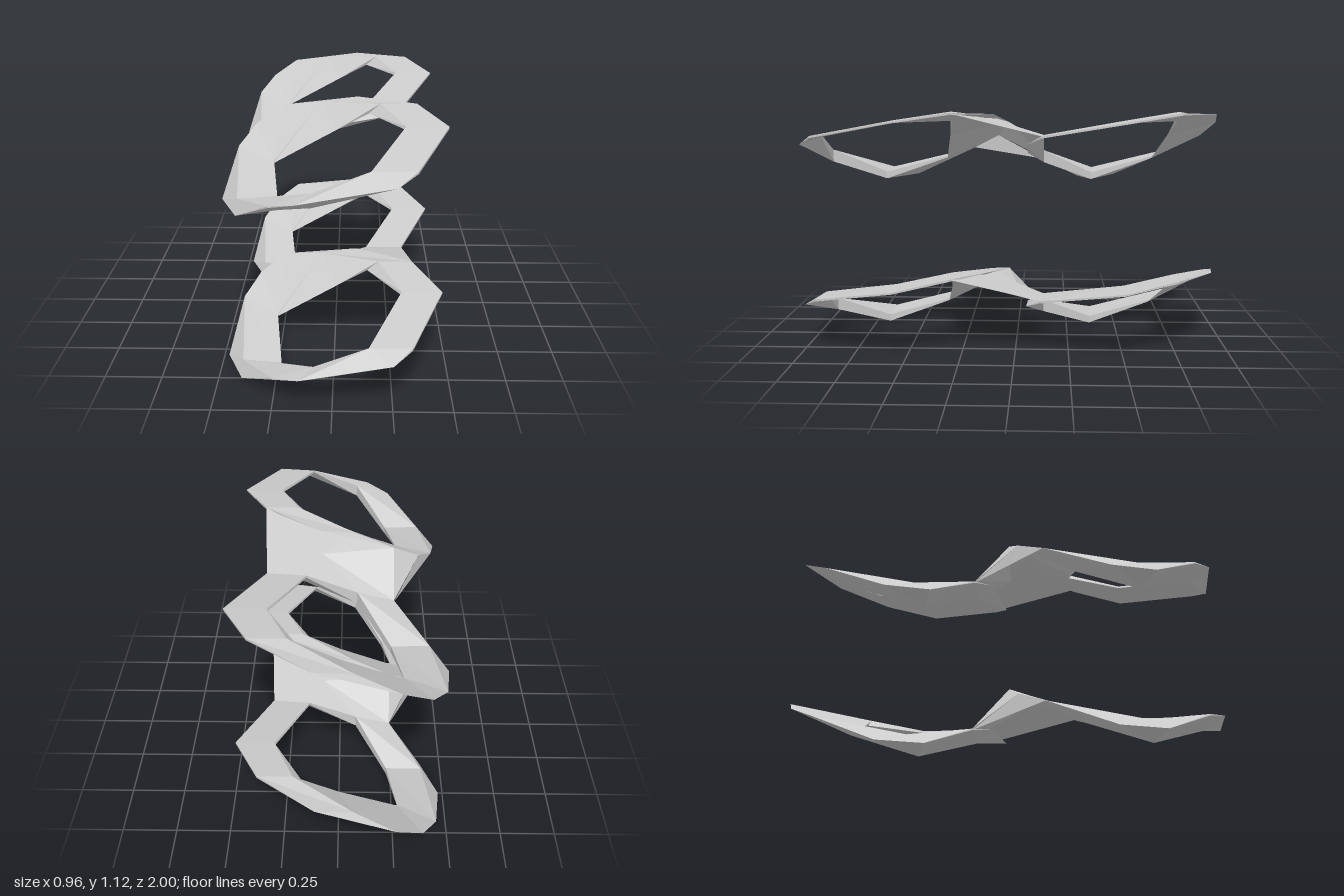
import * as THREE from 'three';

// Cross-sections around one loop, anticlockwise from above, starting at the right arm:
// [lower outer edge, upper outer edge, upper inner edge, lower inner edge]
const TOP = [-0.07, 0.325, 0.125];
const SIDE_TOP = [-0.27, 0.115, 0.365], SIDE_LOW = [-0.27, 0.105, 0.37];
const LEFT_RIDGE = [-0.4, 0.045, 0.67], LEFT_IN = [-0.23, 0.035, 0.68], LEFT_LOW = [-0.23, 0, 0.68];
const FRONT_IN = [-0.08, 0.16, 0.92], FRONT_LOW = [-0.08, 0.1, 0.92];
const RIGHT_IN = [0.15, 0.25, 0.92], RIGHT_LOW = [0.15, 0.238, 0.92];
const same = (p, inner, low) => [p, p, inner, low];
const SECTIONS = [
  [[0.48, 0.317, 0.55], [0.48, 0.325, 0.55], [0.3, 0.325, 0.55], [0.295, 0.312, 0.55]],
  [[0.36, 0.35, 0.3], [0.36, 0.36, 0.3], [0.2, 0.36, 0.3], [0.15, 0.315, 0.3]],
  same([0.1, 0.345, 0.11], TOP, [0, 0.242, 0.325]),
  same([-0.25, 0.29, 0.05], TOP, SIDE_LOW),
  same([-0.37, 0.215, 0.11], SIDE_TOP, SIDE_LOW),
  same([-0.44, 0.145, 0.24], SIDE_TOP, SIDE_LOW),
  [[-0.48, 0, 0.55], LEFT_RIDGE, LEFT_IN, LEFT_LOW],
  [[-0.4, 0, 0.75], LEFT_RIDGE, LEFT_IN, LEFT_LOW],
  [[-0.25, 0.103, 0.93], [-0.25, 0.11, 0.93], FRONT_IN, FRONT_LOW],
  same([-0.14, 0.14, 1], FRONT_IN, FRONT_LOW),
  same([0.25, 0.21, 1], RIGHT_IN, RIGHT_LOW),
  [[0.33, 0.245, 0.93], [0.33, 0.255, 0.93], RIGHT_IN, RIGHT_LOW],
];
const PITCH = 1.05; // distance between the two loops
const LEVEL = 0.76; // height between the two pieces

const material = new THREE.MeshStandardMaterial({
  color: 0xcccccc, flatShading: true, side: THREE.DoubleSide,
});

function facetedMesh(name, triangles) {
  const geometry = new THREE.BufferGeometry();
  geometry.setAttribute('position', new THREE.Float32BufferAttribute(triangles.flat(2), 3));
  geometry.computeVertexNormals();
  const mesh = new THREE.Mesh(geometry, material);
  mesh.name = name;
  return mesh;
}

// Closed loop skinned between neighbouring cross-sections
function loop(name) {
  const triangles = [];
  SECTIONS.forEach((s, i) => {
    const t = SECTIONS[(i + 1) % SECTIONS.length];
    for (let k = 0; k < 4; k++) {
      const n = (k + 1) % 4;
      for (const tri of [[s[k], t[k], t[n]], [s[k], t[n], s[n]]]) {
        const [a, b, c] = tri.map((p) => new THREE.Vector3(...p));
        if (b.sub(a).cross(c.sub(a)).length() > 1e-7) triangles.push(tri);
      }
    }
  });
  return facetedMesh(name, triangles);
}

// Thin web joining the front of one loop to the back of the other
function bridge() {
  const back = (i, k) => {
    const [x, y, z] = SECTIONS[i][k];
    return [x, y, z - PITCH];
  };
  const front = (i, k) => SECTIONS[i][k];
  const rim = [back(8, 1), front(3, 1), TOP, front(1, 2), front(1, 1), back(11, 1),
    back(10, 2), back(8, 2)];
  const centre = [0.08, 0.285, 0];
  const triangles = rim.map((p, i) => [centre, p, rim[(i + 1) % rim.length]]);
  // Gusset down the left side
  triangles.push([back(8, 1), front(4, 0), front(3, 0)]);
  triangles.push([back(8, 0), front(5, 0), front(4, 0)]);
  return facetedMesh('bridge', triangles);
}

export function createModel() {
  const model = new THREE.Group();
  model.name = 'stackedDoubleLoops';
  ['lowerPiece', 'upperPiece'].forEach((name, i) => {
    const piece = new THREE.Group();
    piece.name = name;
    piece.position.y = i * LEVEL;
    const backLoop = loop('backLoop');
    backLoop.position.z = -PITCH;
    piece.add(loop('frontLoop'), backLoop, bridge());
    model.add(piece);
  });
  return model;
}
